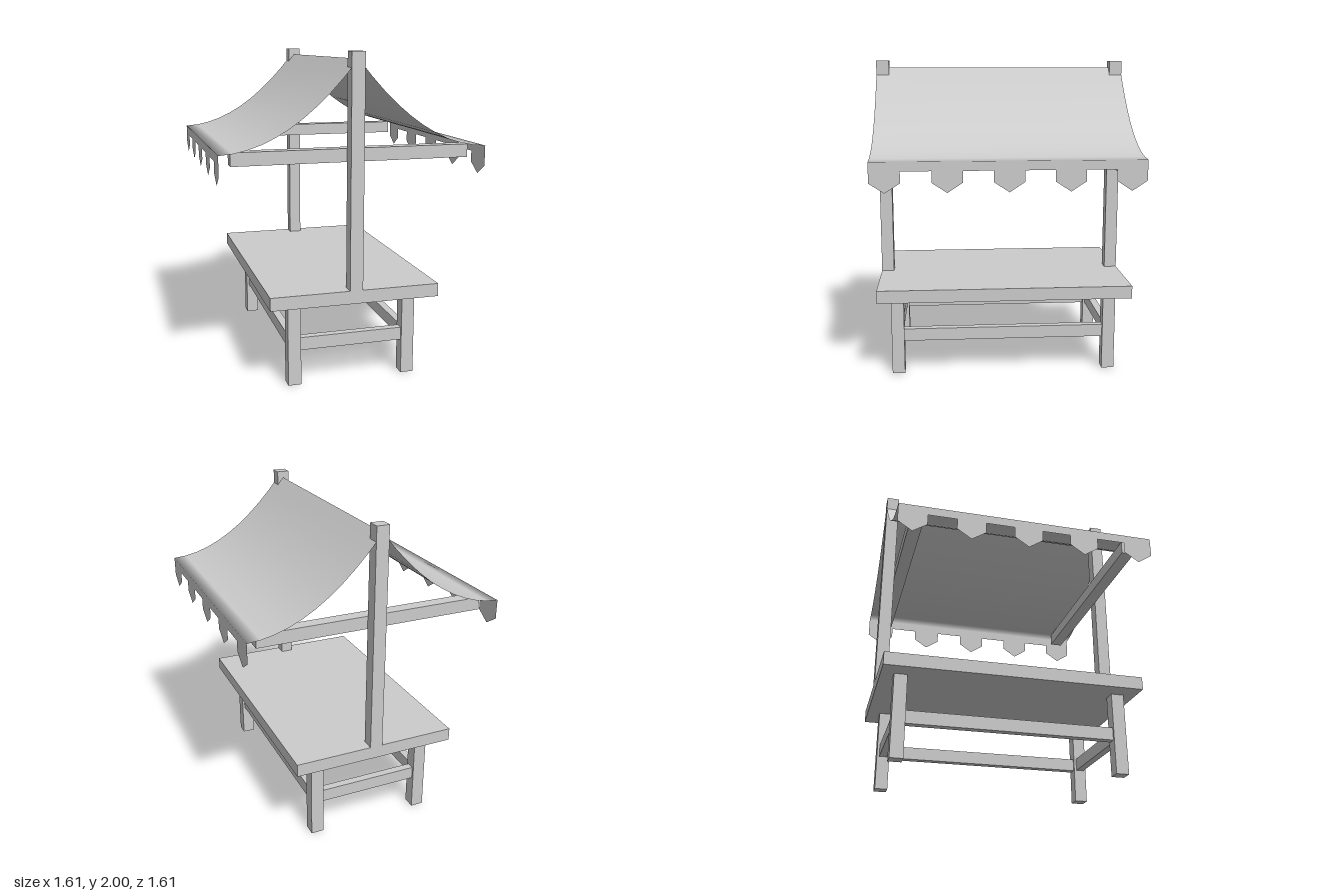
import * as THREE from 'three';

const wood = new THREE.MeshStandardMaterial({ color: 0xcccccc });
const cloth = new THREE.MeshStandardMaterial({ color: 0xcccccc, side: THREE.DoubleSide });

const HALF = 0.807;   // half length of the stall and half span of the canopy
const RIDGE = 1.957, EAVE = 1.437, HEM = 1.382;
const BAR = 0.081;    // timber thickness

function beam(parent, name, size, pos) {
  const mesh = new THREE.Mesh(new THREE.BoxGeometry(...size), wood);
  mesh.position.set(...pos);
  mesh.name = name;
  parent.add(mesh);
}

// Sagging sheet from the ridge to the eave, ending in a short hanging hem
function sheetGeometry() {
  const rows = 11;
  const geo = new THREE.PlaneGeometry(2 * HALF, 1, 1, rows);
  const p = geo.attributes.position;
  for (let i = 0; i < p.count; i++) {
    const row = Math.floor(i / 2);
    const u = Math.min(row / (rows - 1), 1);
    const y = row === rows ? HEM : RIDGE - (RIDGE - EAVE) * (1.96 * u - 0.96 * u * u);
    p.setXYZ(i, HALF * u, y, -p.getX(i));
  }
  geo.computeVertexNormals();
  // the hem is shaded flat, the sheet blends into it
  for (let i = 2 * (rows - 1); i < p.count; i++) geo.attributes.normal.setXYZ(i, 1, 0, 0);
  return geo;
}

// Pointed tab hanging below the hem
function tabGeometry() {
  const shape = new THREE.Shape([
    new THREE.Vector2(-0.09, 0), new THREE.Vector2(-0.09, -0.068),
    new THREE.Vector2(0, -0.127), new THREE.Vector2(0.09, -0.068),
    new THREE.Vector2(0.09, 0),
  ]);
  return new THREE.ShapeGeometry(shape).rotateY(Math.PI / 2);
}

export function createModel() {
  const model = new THREE.Group();
  model.name = 'marketStall';

  // Table with four legs and stretchers
  const table = new THREE.Group();
  table.name = 'table';
  model.add(table);
  beam(table, 'tableTop', [1.055, BAR, 2 * HALF], [0, 0.553, 0]);
  for (const s of [-1, 1]) {
    for (const t of [-1, 1]) beam(table, 'leg', [BAR, 0.513, BAR], [s * 0.364, 0.2565, t * 0.687]);
    beam(table, 'endStretcher', [0.65, 0.08, 0.05], [0, 0.255, s * 0.687]);
    beam(table, 'longStretcher', [0.05, 0.08, 1.295], [s * 0.364, 0.255, 0]);
  }

  // End posts, each with a crossbar fixed to its inner face
  const frame = new THREE.Group();
  frame.name = 'frame';
  model.add(frame);
  const postZ = HALF - BAR / 2;
  for (const s of [-1, 1]) {
    beam(frame, 'post', [BAR, 1.407, BAR], [0, 1.2965, s * postZ]);
    beam(frame, 'crossbar', [1.458, 0.08, BAR], [0, 1.4, s * (postZ - BAR)]);
  }

  // Two mirrored halves of the canopy with their row of tabs
  const sheet = sheetGeometry(), tab = tabGeometry();
  for (const turn of [0, Math.PI]) {
    const half = new THREE.Group();
    half.name = 'canopyHalf';
    half.rotation.y = turn;
    const roof = new THREE.Mesh(sheet, cloth);
    roof.name = 'canopySheet';
    half.add(roof);
    for (let i = -2; i <= 2; i++) {
      const m = new THREE.Mesh(tab, cloth);
      m.name = 'canopyTab';
      m.position.set(HALF, HEM, i * 0.3585);
      half.add(m);
    }
    model.add(half);
  }
  return model;
}
